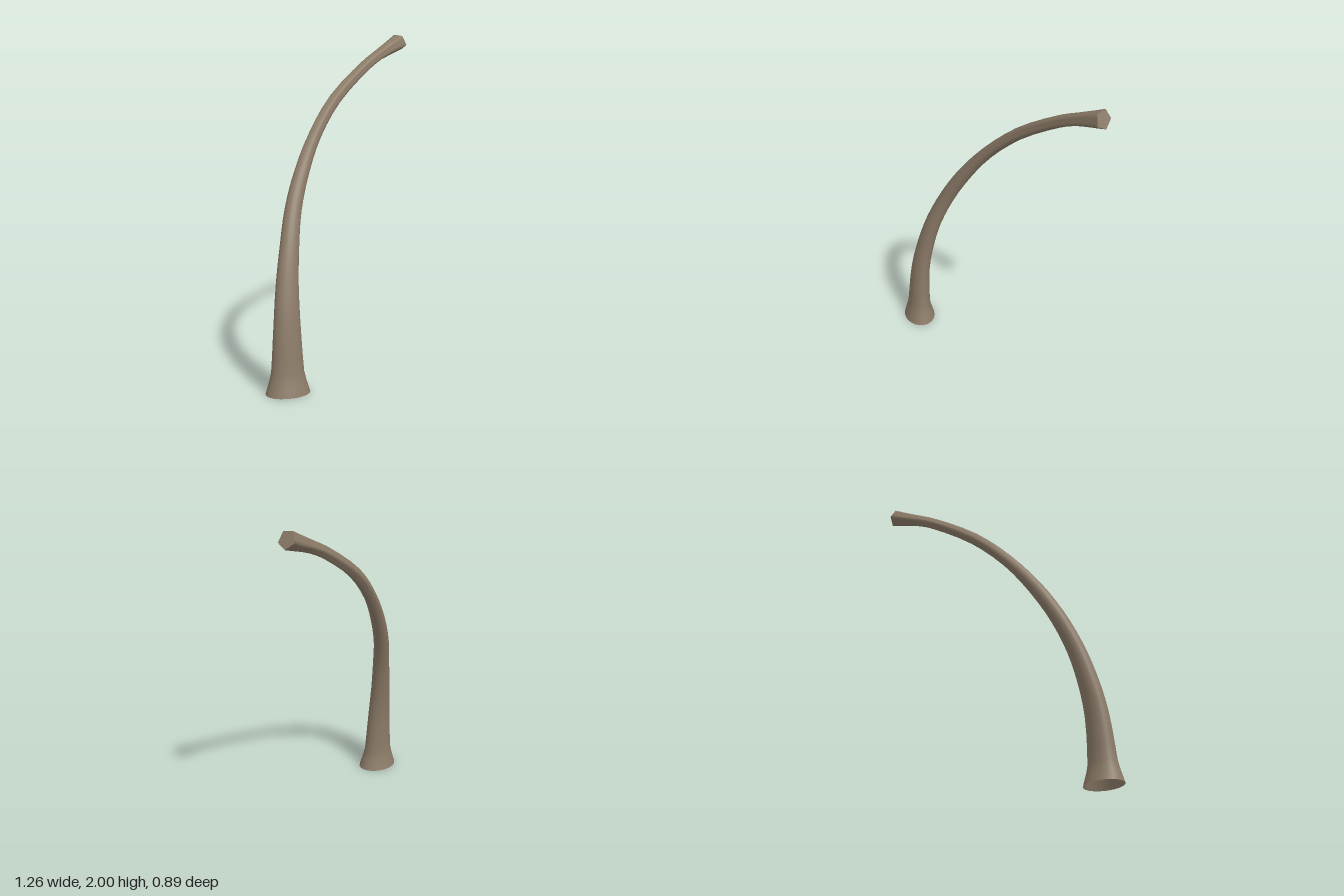
import * as THREE from 'three';

const SIDES = 20, STEPS = 3;
const CORNER = Math.PI * 2 / 5;      // angle between the five ridges of the upper trunk
const PHASE = Math.PI * 165 / 180;   // first ridge runs along the top

// Cross-sections: centre x, y, z, then half-widths across and in depth
const SECTIONS = [
  [-0.50, 0, 0.338, 0.13, 0.1],
  [-0.50, 0.12, 0.335, 0.096, 0.071],
  [-0.493, 0.4, 0.315, 0.077, 0.058],
  [-0.474, 0.6, 0.277, 0.066, 0.052],
  [-0.437, 0.8, 0.224, 0.056, 0.047],
  [-0.38, 1.0, 0.147, 0.049, 0.044],
  [-0.288, 1.2, 0.06, 0.044, 0.041],
  [-0.16, 1.4, -0.04, 0.039, 0.036],
  [0.025, 1.6, -0.155, 0.038, 0.034],
  [0.3, 1.8, -0.28, 0.036, 0.033],
  [0.425, 1.87, -0.327, 0.038, 0.035],
  [0.608, 1.953, -0.399, 0.056, 0.051],
];

// Loops of points up the bent trunk, round below and five-sided above
function trunkRings() {
  const path = new THREE.CatmullRomCurve3(SECTIONS.map(s => new THREE.Vector3(s[0], s[1], s[2])));
  const sizes = new THREE.CatmullRomCurve3(SECTIONS.map(s => new THREE.Vector3(s[3], s[4], 0)));
  const count = (SECTIONS.length - 1) * STEPS, rings = [];
  for (let i = 0; i <= count; i++) {
    const t = i / count;
    const centre = path.getPoint(t), size = sizes.getPoint(t);
    const along = i === 0 ? new THREE.Vector3(0, 1, 0) : path.getTangent(t);
    const across = new THREE.Vector3(1, 0, 0).addScaledVector(along, -along.x).normalize();
    const depth = new THREE.Vector3().crossVectors(across, along);
    const faceted = THREE.MathUtils.smoothstep(t, 0.5, 0.8);
    const ring = [];
    for (let j = 0; j < SIDES; j++) {
      const turn = j / SIDES * Math.PI * 2, a = PHASE + turn;
      const flat = Math.cos(CORNER / 2) / Math.cos(turn % CORNER - CORNER / 2);
      const r = THREE.MathUtils.lerp(1, flat, faceted);
      ring.push(centre.clone()
        .addScaledVector(across, Math.cos(a) * size.x * r)
        .addScaledVector(depth, Math.sin(a) * size.y * r));
    }
    rings.push(ring);
  }
  return rings;
}

function surface(points, index) {
  const geometry = new THREE.BufferGeometry().setFromPoints(points);
  geometry.setIndex(index);
  geometry.computeVertexNormals();
  return geometry;
}

export function createModel() {
  const model = new THREE.Group();
  model.name = 'leaningTrunk';
  // The base is open, so both sides of the bark show
  const bark = new THREE.MeshStandardMaterial({ color: 0x8c7b68, side: THREE.DoubleSide });
  bark.name = 'bark';
  const rings = trunkRings();

  // Trunk wall
  const index = [];
  for (let i = 0; i < rings.length - 1; i++) {
    for (let j = 0; j < SIDES; j++) {
      const k = (j + 1) % SIDES, r = i * SIDES, n = r + SIDES;
      index.push(r + j, n + j, r + k, r + k, n + j, n + k);
    }
  }
  const trunk = new THREE.Mesh(surface(rings.flat(), index), bark);
  trunk.name = 'trunk';

  // Flat end closing the flared tip
  const fan = [];
  for (let j = 1; j < SIDES - 1; j++) fan.push(0, j + 1, j);
  const tip = new THREE.Mesh(surface(rings[rings.length - 1], fan), bark);
  tip.name = 'tip';

  model.add(trunk, tip);
  return model;
}
